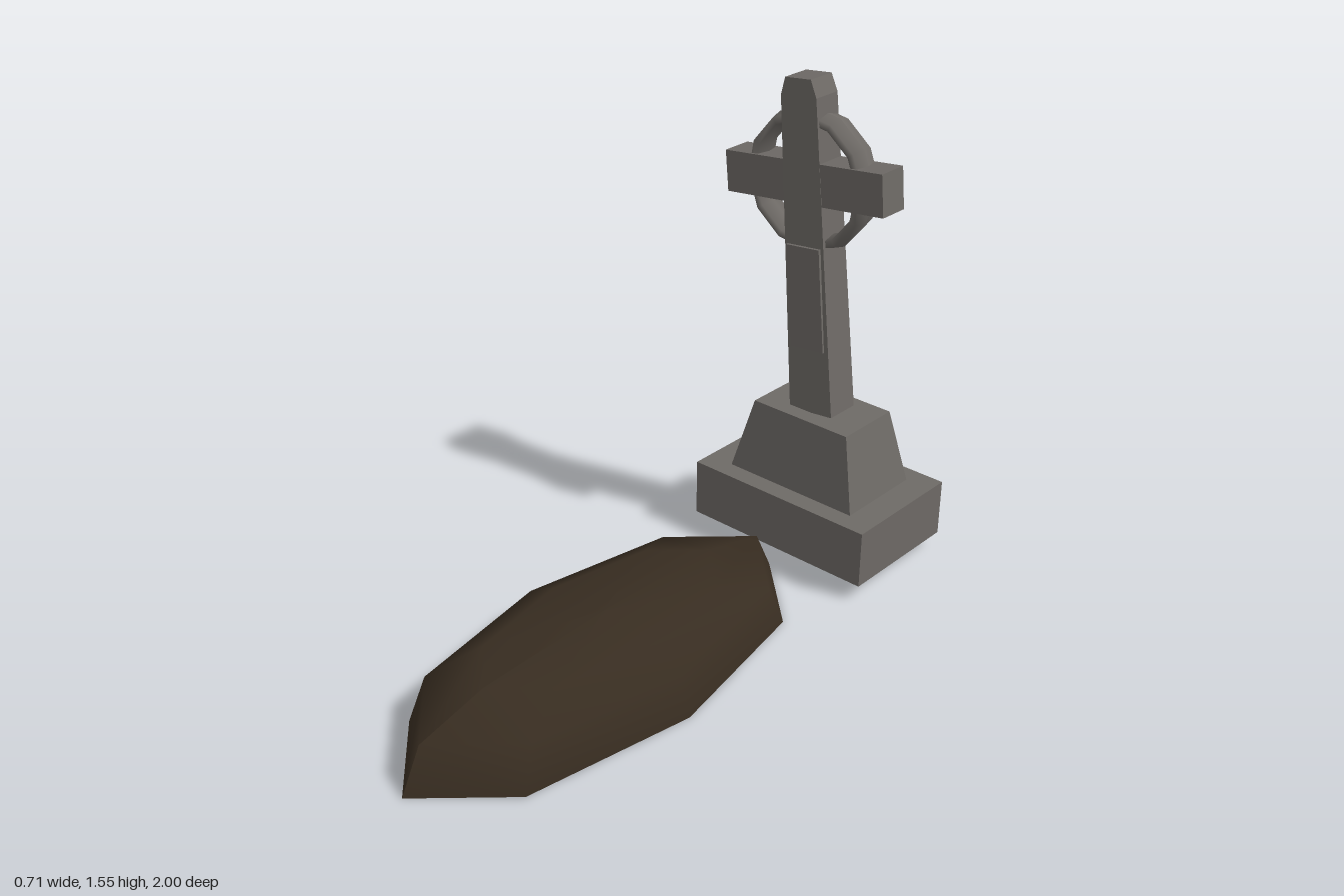
import * as THREE from 'three';

const stone = new THREE.MeshStandardMaterial({ color: 0x6e6a66 });
stone.name = 'weathered stone';
const soil = new THREE.MeshStandardMaterial({ color: 0x382d21, side: THREE.DoubleSide });
soil.name = 'dark soil';

// Box standing on y = 0 whose top may be narrower than its bottom
function taperedBox(w0, d0, w1, d1, h) {
  const geo = new THREE.BoxGeometry(1, h, 1).translate(0, h / 2, 0);
  const p = geo.attributes.position;
  for (let i = 0; i < p.count; i++) {
    const top = p.getY(i) > h / 2;
    p.setX(i, p.getX(i) * (top ? w1 : w0));
    p.setZ(i, p.getZ(i) * (top ? d1 : d0));
  }
  geo.computeVertexNormals();
  return geo;
}

function add(parent, name, geo, material, x = 0, y = 0, z = 0) {
  const mesh = new THREE.Mesh(geo, material);
  mesh.name = name;
  mesh.position.set(x, y, z);
  parent.add(mesh);
  return mesh;
}

export function createModel() {
  const model = new THREE.Group();
  model.name = 'graveWithCross';
  const cx = 0.02, cz = -0.782;

  // Earth mound: low eight-sided dome, open underneath
  const profile = [[1, 0], [0.91, 0.137], [0.61, 0.193], [0, 0.207]]
    .map(([r, y]) => new THREE.Vector2(r, y));
  const dome = new THREE.LatheGeometry(profile, 8).scale(0.335, 1, 0.77);
  dome.computeVertexNormals();
  add(model, 'mound', dome, soil, cx, 0, 0.23);

  // Stepped pedestal
  add(model, 'baseSlab', taperedBox(0.67, 0.435, 0.67, 0.435, 0.19), stone, cx, 0.05, cz);
  add(model, 'pedestal', taperedBox(0.482, 0.305, 0.364, 0.23, 0.243), stone, cx, 0.24, cz);

  // Leaning cross, built upright in its own frame
  const cross = new THREE.Group();
  cross.name = 'leaningCross';
  cross.position.set(cx, 0.4825, cz);
  cross.rotation.z = THREE.MathUtils.degToRad(6);
  model.add(cross);

  add(cross, 'shaft', taperedBox(0.164, 0.12, 0.132, 0.102, 1.015), stone);
  add(cross, 'shaftCap', taperedBox(0.132, 0.102, 0.095, 0.1, 0.054), stone, 0, 1.015);
  add(cross, 'crossArms', new THREE.BoxGeometry(0.59, 0.132, 0.104), stone, 0, 0.752);
  add(cross, 'frontPanel', new THREE.BoxGeometry(0.126, 0.336, 0.02), stone, 0, 0.385, 0.055);

  // Ring around the crossing, deeper than it is wide
  const ring = new THREE.TorusGeometry(0.204, 0.023, 6, 12).scale(1, 1, 2.2);
  ring.computeVertexNormals();
  add(cross, 'ring', ring, stone, 0, 0.752);

  return model;
}
